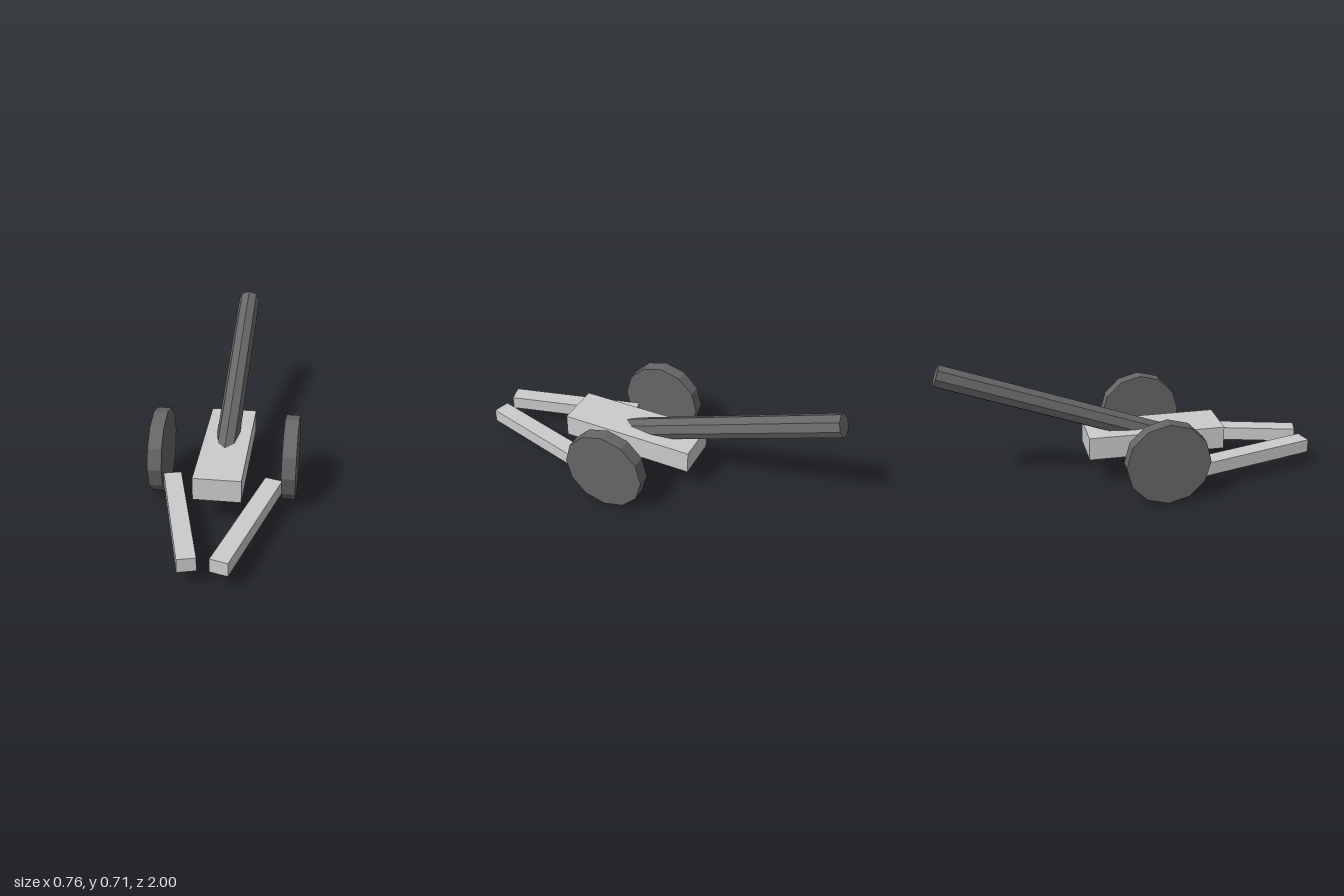
import * as THREE from 'three';

export function createModel() {
  const model = new THREE.Group();
  const grey = new THREE.MeshStandardMaterial({ color: 0xcccccc, flatShading: true });
  const dark = new THREE.MeshStandardMaterial({ color: 0x666666, flatShading: true });

  const add = (name, geometry, material, x, y, z) => {
    const mesh = new THREE.Mesh(geometry, material);
    mesh.name = name;
    mesh.position.set(x, y, z);
    model.add(mesh);
    return mesh;
  };

  // Carriage body
  add('carriage', new THREE.BoxGeometry(0.244, 0.123, 0.732), grey, 0, 0.2215, 0.145);

  // Octagonal barrel, raised 20 degrees toward the back and passing through the carriage
  const barrel = add('barrel', new THREE.CylinderGeometry(0.061, 0.061, 1.348, 8), dark, 0, 0.4175, -0.343);
  barrel.rotation.x = THREE.MathUtils.degToRad(-70);

  // Mirrored wheels and converging trail legs
  const wheelGeometry = new THREE.CylinderGeometry(0.22, 0.22, 0.073, 12).rotateZ(Math.PI / 2);
  const legGeometry = new THREE.BoxGeometry(0.092, 0.073, 0.736);
  for (const [side, s] of [['left', 1], ['right', -1]]) {
    add(side + 'Wheel', wheelGeometry, dark, s * 0.342, 0.22, 0.145);
    const leg = add(side + 'TrailLeg', legGeometry, grey, s * 0.169, 0.1235, 0.632);
    leg.rotation.y = THREE.MathUtils.degToRad(-15 * s);
  }

  return model;
}
